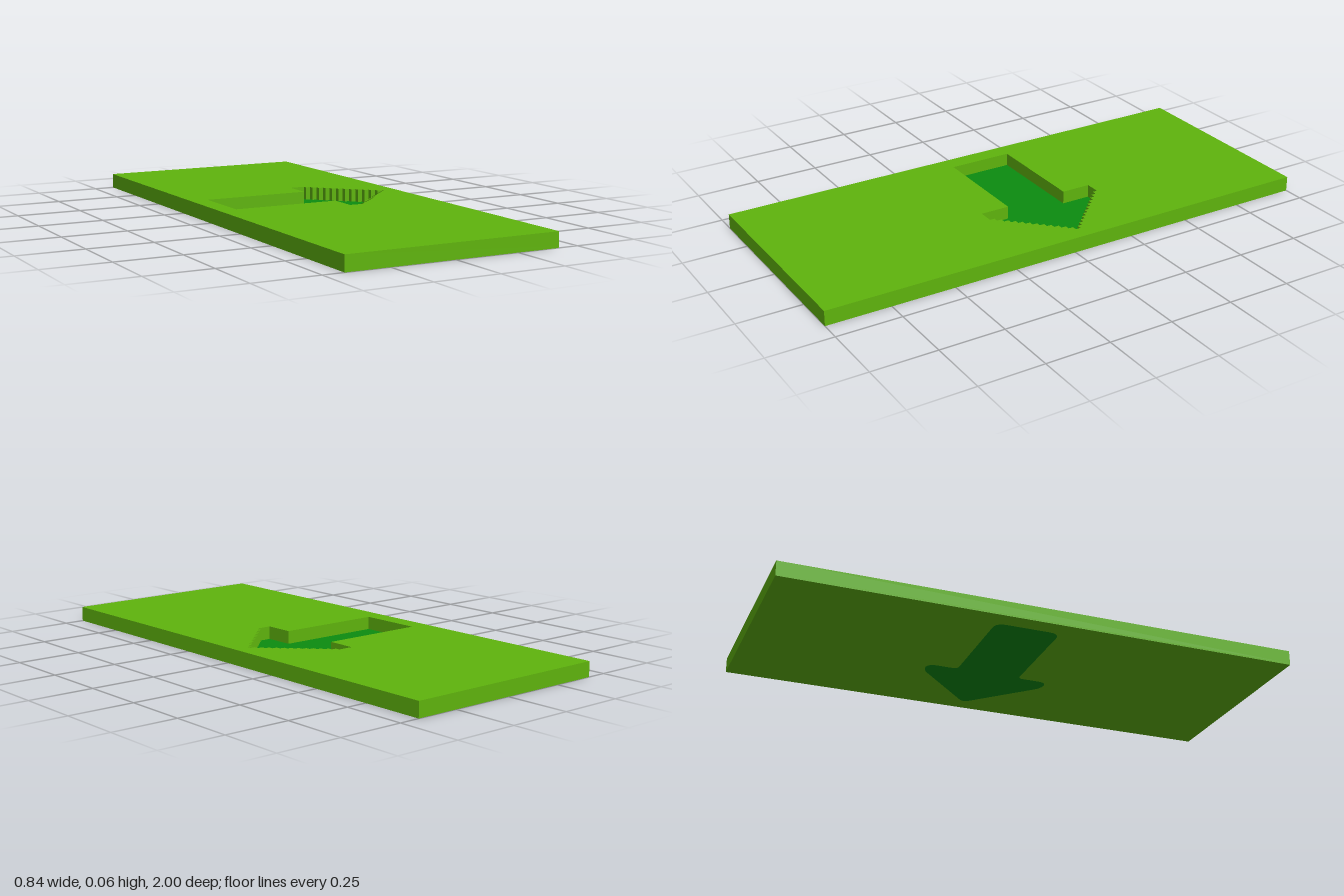
import * as THREE from 'three';

const W = 0.84, L = 2, H = 0.058, SKIN = 0.006;
const CZ = 0.05; // arrow axis, in shape space (shape y = -z)

// Upper half of the stepped arrow outline, then its mirror
function steppedArrow() {
  const half = [[-0.35, 0.125], [0.07, 0.125], [0.07, 0.24], [0.13, 0.24]];
  const steps = 12, dx = 0.23 / steps, dy = 0.23 / steps;
  for (let i = 0; i < steps; i++) {
    const x = 0.13 + i * dx, y = 0.24 - (i + 1) * dy;
    half.push([x, y], [x + dx, y]);
  }
  const mirrored = half.map(([x, y]) => [x, -y]).reverse();
  return [...half, ...mirrored].map(([x, y]) => new THREE.Vector2(x, y + CZ));
}

// Arrow outline with softened corners
function roundedArrow() {
  const half = [[-0.35, 0.125, 0.04], [0.07, 0.125, 0.02], [0.07, 0.245, 0.035], [0.125, 0.245, 0.03]];
  const tip = [0.365, 0, 0.03];
  const pts = [...half, tip, ...half.map(([x, y, r]) => [x, -y, r]).reverse()]
    .map(([x, y, r]) => ({ p: new THREE.Vector2(x, y + CZ), r }));
  const path = new THREE.Path();
  pts.forEach(({ p, r }, i) => {
    const toward = (q) => q.clone().sub(p).setLength(r).add(p);
    const a = toward(pts[(i + pts.length - 1) % pts.length].p);
    const b = toward(pts[(i + 1) % pts.length].p);
    if (i === 0) path.moveTo(a.x, a.y); else path.lineTo(a.x, a.y);
    path.quadraticCurveTo(p.x, p.y, b.x, b.y);
  });
  path.closePath();
  return path.getPoints(5);
}

function slab(outline, hole, y, depth) {
  const shape = new THREE.Shape(outline);
  if (hole) shape.holes.push(new THREE.Path(hole));
  const geo = new THREE.ExtrudeGeometry(shape, { depth, bevelEnabled: false });
  return geo.rotateX(-Math.PI / 2).translate(0, y, 0);
}

export function createModel() {
  const group = new THREE.Group();
  const lime = new THREE.MeshStandardMaterial({ color: 0x5fb40d });
  lime.name = 'limeGreen';
  const green = new THREE.MeshStandardMaterial({ color: 0x0c8c10 });
  green.name = 'deepGreen';

  const rect = [[-1, -1], [1, -1], [1, 1], [-1, 1]]
    .map(([x, y]) => new THREE.Vector2(x * W / 2, y * L / 2));
  const add = (name, geo, mat) => {
    const mesh = new THREE.Mesh(geo, mat);
    mesh.name = name;
    group.add(mesh);
  };

  // Plate with the stepped arrow pocket, and its thin underside
  add('plate', slab(rect, steppedArrow(), SKIN, H - SKIN), lime);
  add('plateUnderside', slab(rect, roundedArrow(), 0, SKIN), lime);

  // Arrow inlay: rounded below, stepped floor of the pocket above
  add('arrowUnderside', slab(roundedArrow(), null, 0, SKIN), green);
  add('arrowFloor', slab(steppedArrow(), null, SKIN, 0.002), green);
  return group;
}
